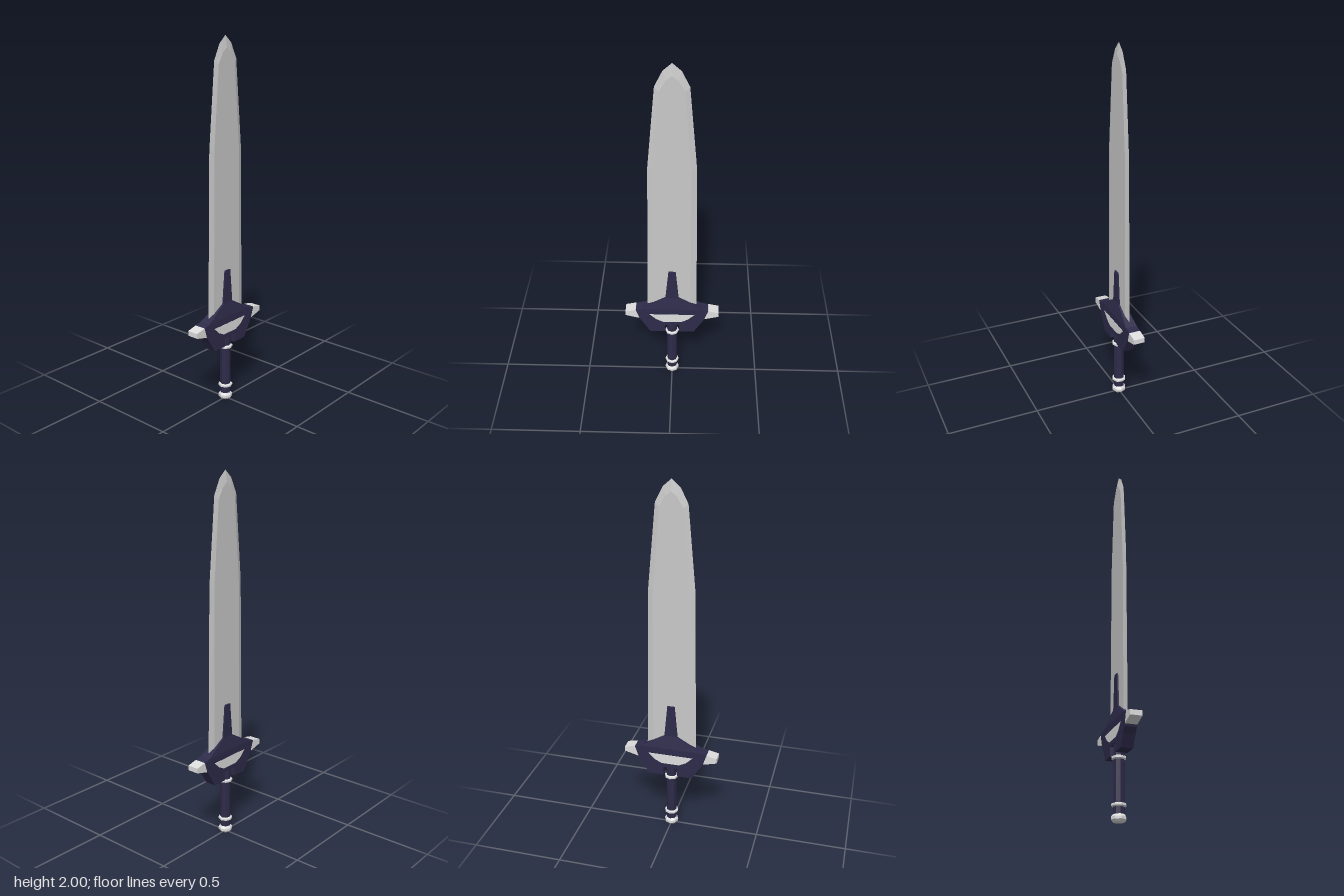
import * as THREE from 'three';

const steel = new THREE.MeshStandardMaterial({ color: 0xc9c9c9 });
steel.name = 'bladeSteel';
const silver = new THREE.MeshStandardMaterial({ color: 0xdedede });
silver.name = 'silverTrim';
const navy = new THREE.MeshStandardMaterial({ color: 0x2e2b4a });
navy.name = 'darkNavy';

// Faceted mesh: every face keeps its own normal
function part(name, geometry, material) {
  const g = geometry.index ? geometry.toNonIndexed() : geometry;
  g.computeVertexNormals();
  const mesh = new THREE.Mesh(g, material);
  mesh.name = name;
  return mesh;
}

// Slab cut from a (z, y) outline, spanning -halfX..halfX
function slab(points, halfX) {
  const shape = new THREE.Shape(points.map(([z, y]) => new THREE.Vector2(z, y)));
  return new THREE.ExtrudeGeometry(shape, { depth: halfX * 2, bevelEnabled: false })
    .translate(0, 0, -halfX)
    .rotateY(-Math.PI / 2);
}

// Completes a half outline by mirroring it in z
const mirrored = (half) => [...half, ...half.map(([z, y]) => [-z, y]).reverse()];

const lathe = (profile) =>
  new THREE.LatheGeometry(profile.map(([r, y]) => new THREE.Vector2(r, y)), 8);

// Six-sided blade sections: sharp edges at +-z, flat faces at +-x
function bladeGeometry() {
  const t = 0.01;
  // edge z, edge y, flat z, flat y
  const rows = [
    [0.14, 0.45, 0.105, 0.45],
    [0.125, 1.43, 0.097, 1.43],
    [0.085, 1.88, 0.062, 1.86],
    [0.045, 1.96, 0.03, 1.915],
    [0, 2, 0, 1.94],
  ];
  const pos = [];
  const idx = [];
  rows.forEach(([ez, ey, fz, fy], i) => {
    pos.push(0, ey, ez, t, fy, fz, t, fy, -fz, 0, ey, -ez, -t, fy, -fz, -t, fy, fz);
    if (i === rows.length - 1) return;
    for (let j = 0; j < 6; j++) {
      const a = i * 6 + j;
      const b = i * 6 + (j + 1) % 6;
      idx.push(a, b, b + 6, a, b + 6, a + 6);
    }
  });
  idx.push(0, 2, 1, 0, 3, 2, 0, 4, 3, 0, 5, 4);
  const g = new THREE.BufferGeometry();
  g.setAttribute('position', new THREE.Float32BufferAttribute(pos, 3));
  g.setIndex(idx);
  return g;
}

export function createModel() {
  const sword = new THREE.Group();
  sword.name = 'sword';
  const halfX = 0.032;
  const spikeX = 0.018;

  sword.add(part('blade', bladeGeometry(), steel));

  // Guard body with two lower lobes either side of the grip
  const body = mirrored([
    [0.165, 0.505], [0.205, 0.495], [0.18, 0.425], [0.16, 0.395],
    [0.125, 0.335], [0.04, 0.335], [0.04, 0.385],
  ]);
  sword.add(part('guardBody', slab(body, halfX), navy));

  // Collar narrows towards the spike
  const collar = slab([[-0.165, 0.505], [0.165, 0.505], [0.037, 0.58], [-0.037, 0.58]], halfX);
  const p = collar.attributes.position;
  for (let i = 0; i < p.count; i++) {
    if (p.getY(i) > 0.55) p.setX(i, Math.sign(p.getX(i)) * spikeX);
  }
  sword.add(part('guardCollar', collar, navy));
  sword.add(part('guardSpike',
    slab([[-0.037, 0.58], [0.037, 0.58], [0.02, 0.765], [-0.02, 0.765]], spikeX), navy));

  for (const s of [1, -1]) {
    // Silver ends of the guard
    const tip = [[0.187, 0.436], [0.264, 0.456], [0.264, 0.483], [0.206, 0.496]];
    const outline = tip.map(([z, y]) => [s * z, y]);
    sword.add(part(s > 0 ? 'frontGuardTip' : 'backGuardTip', slab(outline, halfX), silver));

    // Inlay on each face
    const inlay = mirrored([[0.127, 0.466], [0.09, 0.43], [0.05, 0.41]]);
    const plate = part(s > 0 ? 'leftInlay' : 'rightInlay', slab(inlay, 0.001), silver);
    plate.position.x = s * (halfX + 0.0005);
    sword.add(plate);
  }

  // Grip, its two rings and the pommel
  const grip = new THREE.CylinderGeometry(0.029, 0.029, 0.38, 8).translate(0, 0.21, 0);
  sword.add(part('grip', grip, navy));
  for (const [name, y] of [['upperRing', 0.318], ['lowerRing', 0.083]]) {
    const ring = part(name, lathe([
      [0.028, -0.01], [0.039, -0.005], [0.039, 0.005], [0.028, 0.01],
    ]), silver);
    ring.position.y = y;
    sword.add(ring);
  }
  sword.add(part('pommel', lathe([
    [0, 0], [0.029, 0], [0.039, 0.012], [0.039, 0.026], [0.029, 0.038], [0, 0.038],
  ]), silver));

  return sword;
}
